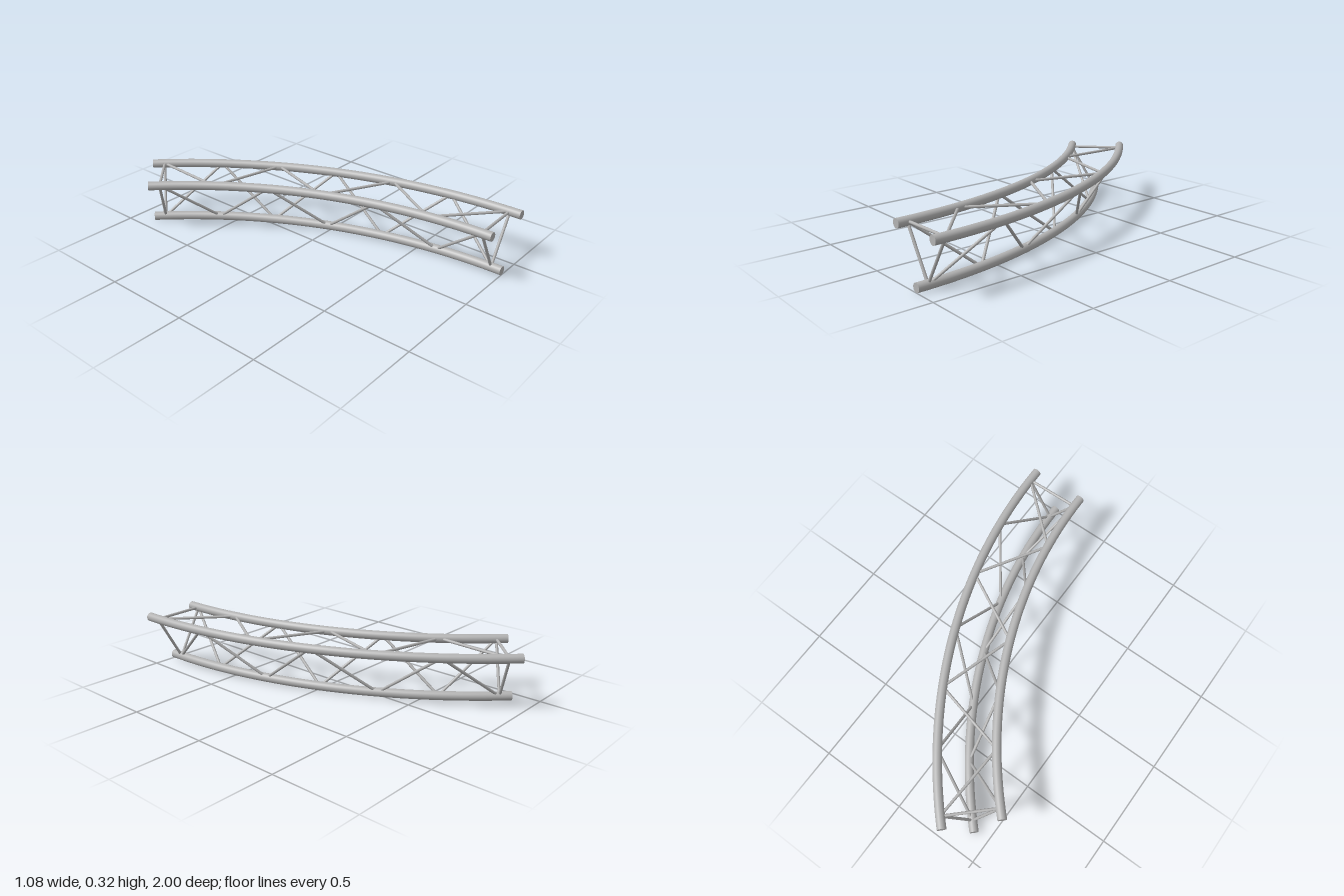
import * as THREE from 'three';

const ARC = Math.PI / 4;                 // the truss sweeps 45 degrees
const CENTRE = new THREE.Vector3(-2.288, 0, 1);
const TUBE = 0.025, ROD = 0.008;
const CHORDS = {
  outer: { r: 2.803, y: 0.295 },
  inner: { r: 2.495, y: 0.295 },
  lower: { r: 2.649, y: 0.025 },
};

// Point on a chord's centre line at an angle along the sweep
function pointOn({ r, y }, angle) {
  return new THREE.Vector3(r * Math.cos(angle), y, -r * Math.sin(angle)).add(CENTRE);
}

export function createModel() {
  const truss = new THREE.Group();
  truss.name = 'curvedTruss';
  const metal = new THREE.MeshStandardMaterial({ color: 0xb2b2b2 });
  metal.name = 'aluminium';

  // Curved main tubes with flat end caps
  for (const [name, chord] of Object.entries(CHORDS)) {
    const group = new THREE.Group();
    group.name = name + 'Chord';
    const geo = new THREE.TorusGeometry(chord.r, TUBE, 24, 40, ARC).rotateX(-Math.PI / 2);
    const tube = new THREE.Mesh(geo, metal);
    tube.name = name + 'Tube';
    tube.position.set(CENTRE.x, chord.y, CENTRE.z);
    group.add(tube);
    for (const [angle, turn] of [[0, 0], [ARC, Math.PI + ARC]]) {
      const cap = new THREE.Mesh(new THREE.CircleGeometry(TUBE, 24), metal);
      cap.name = name + 'EndCap';
      cap.position.copy(pointOn(chord, angle));
      cap.rotation.y = turn;
      group.add(cap);
    }
    truss.add(group);
  }

  // Thin straight rod between two chord points
  const up = new THREE.Vector3(0, 1, 0);
  function rod(name, a, b) {
    const dir = b.clone().sub(a);
    const mesh = new THREE.Mesh(new THREE.CylinderGeometry(ROD, ROD, dir.length(), 12), metal);
    mesh.name = name;
    mesh.position.copy(a).add(b).multiplyScalar(0.5);
    mesh.quaternion.setFromUnitVectors(up, dir.normalize());
    truss.add(mesh);
  }

  // Seven evenly spaced nodes; each face has a zigzag and a bar at both ends
  const BAYS = 6;
  const node = (i) => THREE.MathUtils.degToRad(1.4 + (42.2 * i) / BAYS);
  const faces = [['outer', 'inner'], ['lower', 'outer'], ['inner', 'lower']];
  for (const [first, second] of faces) {
    const pair = [CHORDS[first], CHORDS[second]];
    const label = first + second[0].toUpperCase() + second.slice(1);
    for (let i = 0; i < BAYS; i++) {
      rod(label + 'Diagonal', pointOn(pair[i % 2], node(i)), pointOn(pair[(i + 1) % 2], node(i + 1)));
    }
    for (const i of [0, BAYS]) {
      rod(label + 'EndBar', pointOn(pair[0], node(i)), pointOn(pair[1], node(i)));
    }
  }
  return truss;
}
